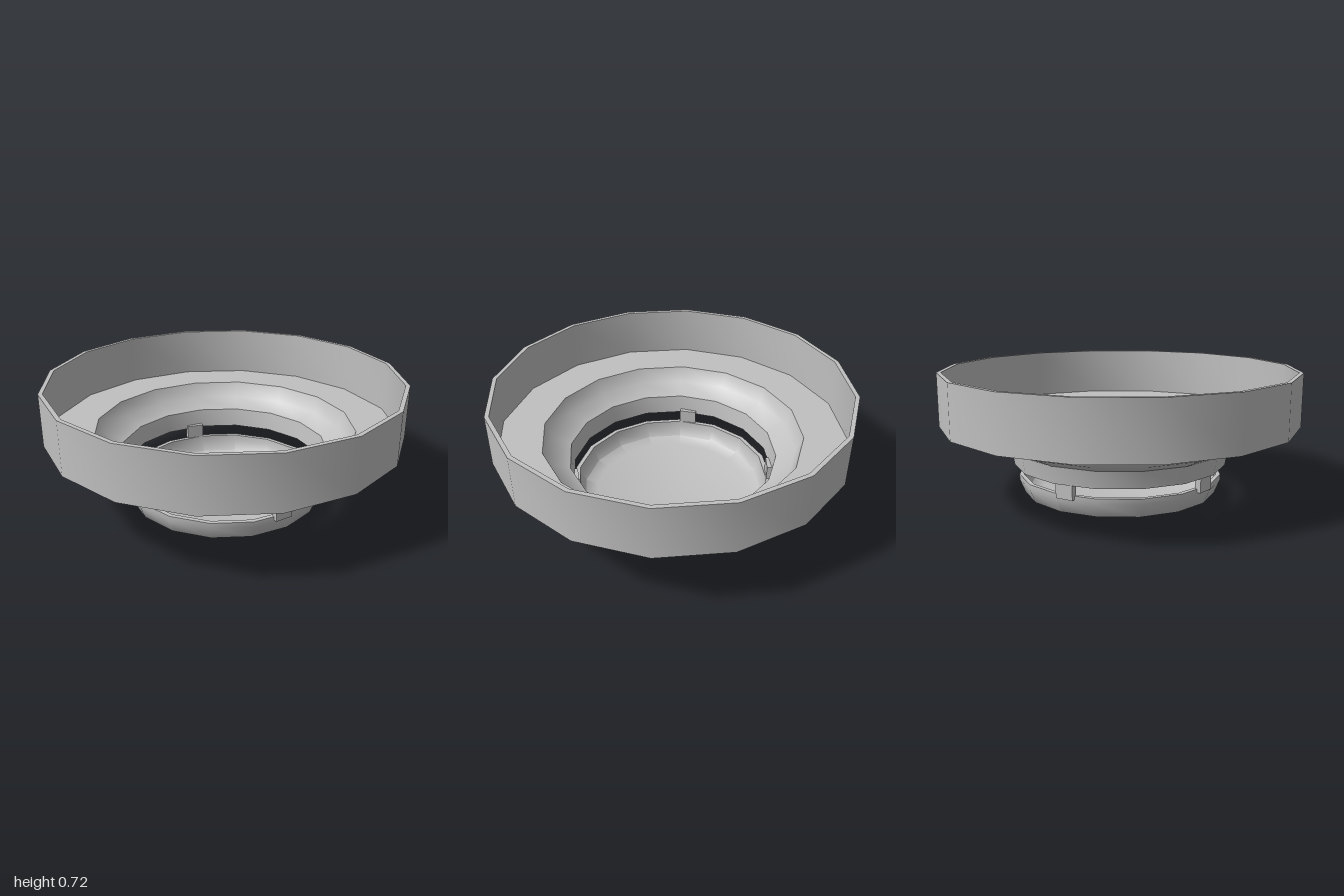
import * as THREE from 'three';
import { toCreasedNormals } from 'three/addons/utils/BufferGeometryUtils.js';

const SIDES = 16;

// Sixteen-sided turned shell; the profile runs up the outside and down the inside
function turned(name, profile, material) {
  const points = profile.map(([r, y]) => new THREE.Vector2(r, y));
  const geometry = toCreasedNormals(new THREE.LatheGeometry(points, SIDES), 0.85);
  const mesh = new THREE.Mesh(geometry, material);
  mesh.name = name;
  return mesh;
}

export function createModel() {
  const model = new THREE.Group();
  model.name = 'steppedBowl';
  const grey = new THREE.MeshStandardMaterial({ color: 0xc0c0c0 });
  grey.name = 'grey';

  // Wide open rim, stepping down to a narrow collar, open at the bottom
  model.add(turned('upperBowl', [
    [0.575, 0.195], [0.6, 0.195], [0.615, 0.29], [0.71, 0.335], [0.748, 0.425],
    [1, 0.425], [1, 0.72], [0.976, 0.72], [0.976, 0.438],
    [0.735, 0.438], [0.698, 0.348], [0.592, 0.303], [0.575, 0.195],
  ], grey));

  // Shallow dish hanging below the collar
  model.add(turned('lowerDish', [
    [0, 0.002], [0.47, 0.002], [0.545, 0.03], [0.575, 0.105], [0.575, 0.135],
    [0.55, 0.135], [0.548, 0.105], [0.522, 0.042], [0.455, 0.018], [0, 0.018],
  ], grey));

  // Four small posts joining dish and collar
  for (const degrees of [62, 130, 230, 310]) {
    const angle = THREE.MathUtils.degToRad(degrees);
    const post = new THREE.Mesh(new THREE.BoxGeometry(0.1, 0.1, 0.035), grey);
    post.name = 'post';
    post.position.set(0.565 * Math.sin(angle), 0.165, 0.565 * Math.cos(angle));
    post.rotation.y = angle;
    model.add(post);
  }
  return model;
}
